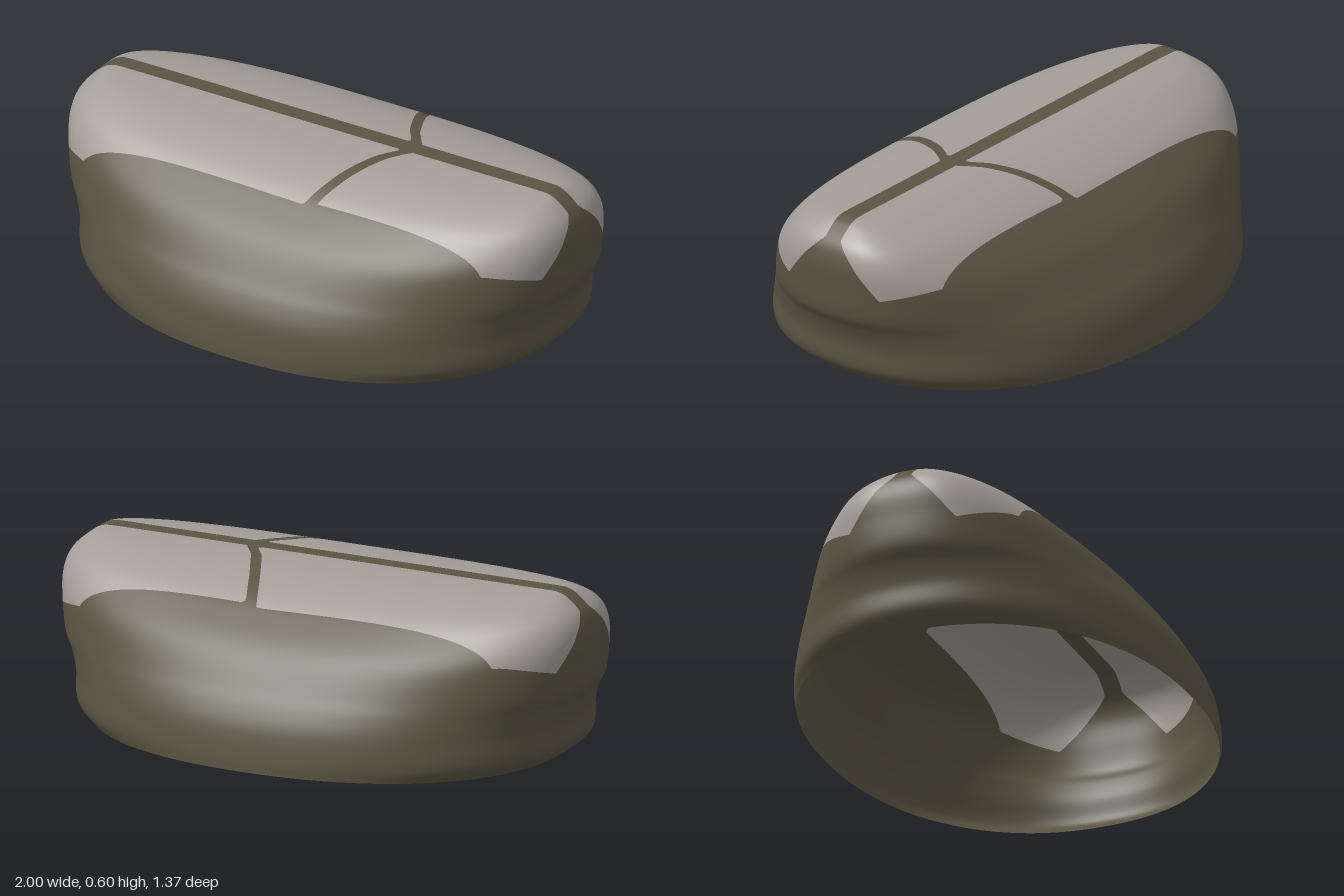
import * as THREE from 'three';

// Shell levels from rim to crest: half length (x), height (y), half width (z)
const LEVELS = [
  [0.87, 0, 0.687], [0.925, 0.05, 0.684], [0.935, 0.15, 0.667], [0.96, 0.22, 0.637], [0.99, 0.27, 0.605],
  [1, 0.39, 0.52], [1, 0.47, 0.43], [0.98, 0.53, 0.345], [0.925, 0.583, 0.21], [0.89, 0.601, 0.09], [0.88, 0.604, 0],
];
const RINGS = 80, SEGMENTS = 360;

// Outline becomes squarer towards the top
const squareness = (y) => 2.2 + 1.3 * Math.max(0, (y - 0.25) / 0.35) ** 1.5;

// Piecewise linear lookup in [input, output] pairs
function lookup(pairs, v) {
  if (v <= pairs[0][0]) return pairs[0][1];
  for (let i = 1; i < pairs.length; i++) {
    const [a, fa] = pairs[i - 1], [b, fb] = pairs[i];
    if (v <= b) return fa + (fb - fa) * (v - a) / (b - a);
  }
  return pairs[pairs.length - 1][1];
}

const SIDE_EDGE = [[-0.8, 0.37], [0.1, 0.39], [0.16, 0.378], [0.85, 0.36]];      // x -> z
const END_EDGE = [[0.03, 0.55], [0.1, 0.48], [0.2, 0.36], [0.35, 0.4]];          // z -> y
const CRACK = [[0.04, 0.305], [0.11, 0.253], [0.25, 0.187], [0.39, 0.13]];       // z -> x

// Positive inside the pale plates, negative on the dark body
function plateField(p) {
  const w = Math.abs(p.z);
  return Math.min(
    w - 0.033,
    lookup(SIDE_EDGE, p.x) - w,
    p.y - lookup(END_EDGE, w),
    Math.abs(p.x - lookup(CRACK, w)) - 0.021,
  );
}

// Smooth open dome, one closed outline per level
function domeGeometry() {
  const curve = new THREE.CatmullRomCurve3(LEVELS.map((l) => new THREE.Vector3(...l)), false, 'centripetal');
  const positions = [], index = [];
  curve.getSpacedPoints(RINGS).forEach((level) => {
    const n = squareness(level.y);
    for (let j = 0; j < SEGMENTS; j++) {
      const t = (j / SEGMENTS) * Math.PI * 2, c = Math.cos(t), s = Math.sin(t);
      const r = (Math.abs(c) ** n + Math.abs(s) ** n) ** (-1 / n);
      positions.push(level.x * r * c, Math.max(0, level.y), level.z * r * s);
    }
  });
  for (let i = 0; i < RINGS; i++) {
    for (let j = 0; j < SEGMENTS; j++) {
      const k = (j + 1) % SEGMENTS;
      const a = i * SEGMENTS + j, b = i * SEGMENTS + k, c = a + SEGMENTS, d = b + SEGMENTS;
      index.push(a, c, b, b, c, d);
    }
  }
  const geometry = new THREE.BufferGeometry();
  geometry.setAttribute('position', new THREE.Float32BufferAttribute(positions, 3));
  geometry.setIndex(index);
  geometry.computeVertexNormals();
  return geometry;
}

// Keep the part of the surface where sign * field is positive
function cutSurface(source, sign) {
  const pos = source.attributes.position, nor = source.attributes.normal, index = source.index.array;
  const corners = [];
  for (let i = 0; i < pos.count; i++) {
    const p = new THREE.Vector3().fromBufferAttribute(pos, i);
    corners.push({ p, n: new THREE.Vector3().fromBufferAttribute(nor, i), f: sign * plateField(p) });
  }
  const positions = [], normals = [];
  for (let i = 0; i < index.length; i += 3) {
    const tri = [corners[index[i]], corners[index[i + 1]], corners[index[i + 2]]];
    const kept = [];
    tri.forEach((a, k) => {
      const b = tri[(k + 1) % 3];
      if (a.f >= 0) kept.push(a);
      if ((a.f >= 0) !== (b.f >= 0)) {
        const t = a.f / (a.f - b.f);
        kept.push({ p: a.p.clone().lerp(b.p, t), n: a.n.clone().lerp(b.n, t).normalize() });
      }
    });
    for (let k = 2; k < kept.length; k++) {
      for (const v of [kept[0], kept[k - 1], kept[k]]) {
        positions.push(v.p.x, v.p.y, v.p.z);
        normals.push(v.n.x, v.n.y, v.n.z);
      }
    }
  }
  const geometry = new THREE.BufferGeometry();
  geometry.setAttribute('position', new THREE.Float32BufferAttribute(positions, 3));
  geometry.setAttribute('normal', new THREE.Float32BufferAttribute(normals, 3));
  return geometry;
}

export function createModel() {
  const olive = new THREE.MeshStandardMaterial({ color: 0x5a5442, side: THREE.DoubleSide });
  olive.name = 'dark olive';
  const grey = new THREE.MeshStandardMaterial({ color: 0xa39d98, side: THREE.DoubleSide });
  grey.name = 'warm grey';

  const group = new THREE.Group();
  group.name = 'shell';
  const dome = domeGeometry();

  // Dark body with the crest stripe and side seams
  const body = new THREE.Mesh(cutSurface(dome, -1), olive);
  body.name = 'shellBody';
  // Pale plates on top
  const plates = new THREE.Mesh(cutSurface(dome, 1), grey);
  plates.name = 'topPlates';
  group.add(body, plates);
  return group;
}
